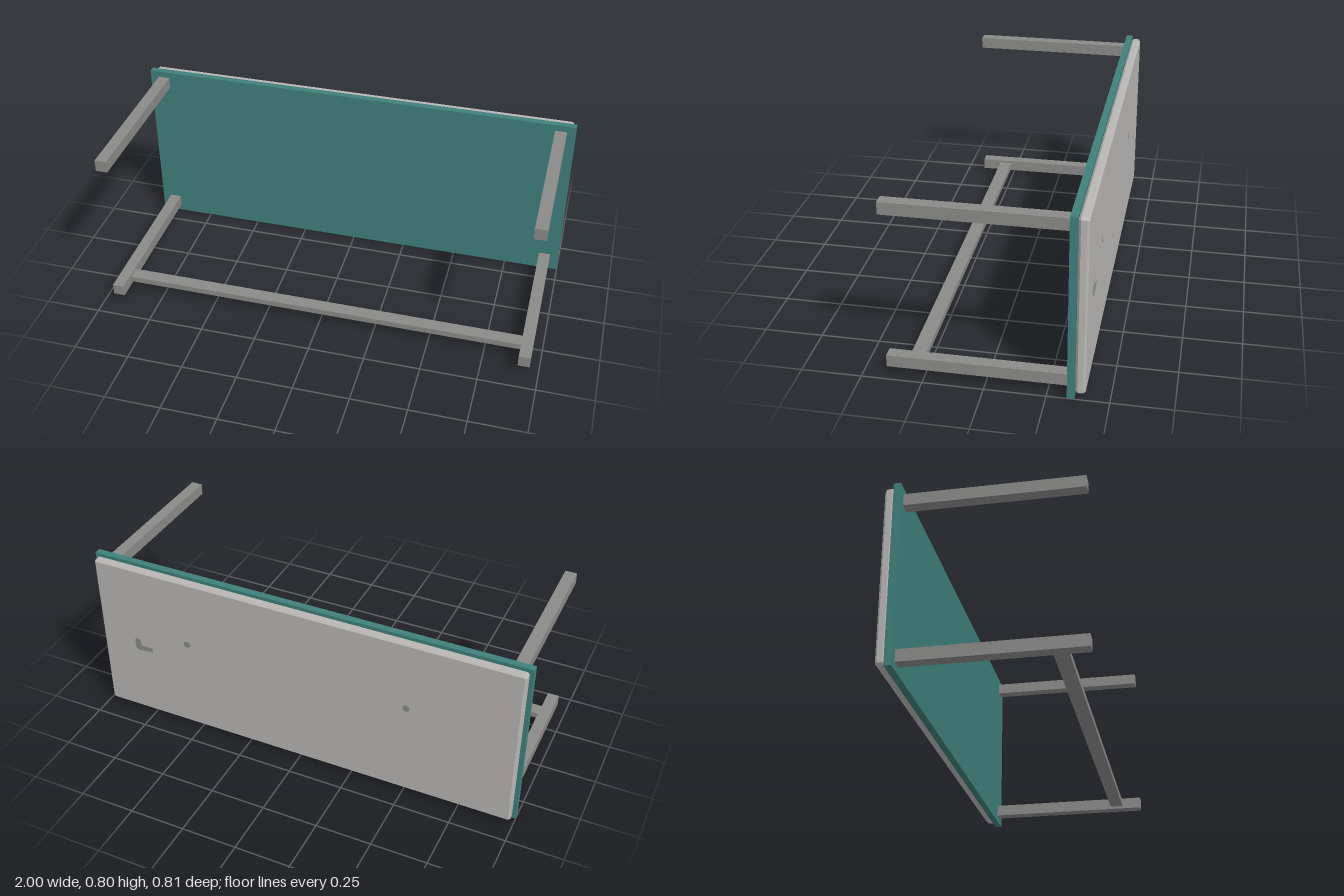
import * as THREE from 'three';

export function createModel() {
  const root = new THREE.Group();
  root.name = 'tippedTable';

  const mat = (name, color) => {
    const m = new THREE.MeshStandardMaterial({ color });
    m.name = name;
    return m;
  };
  const teal = mat('teal', 0x3f807b);
  const legGrey = mat('legGrey', 0x8a8b89);
  const topGrey = mat('topGrey', 0xb8b7b4);

  const add = (name, geometry, material, x, y, z) => {
    const mesh = new THREE.Mesh(geometry, material);
    mesh.name = name;
    mesh.position.set(x, y, z);
    root.add(mesh);
    return mesh;
  };

  // Under-board
  add('underBoard', new THREE.BoxGeometry(2, 0.8, 0.03), teal, 0, 0.4, -0.346);

  // Table top slab with every edge chamfered
  const c = 0.009, w = 0.985, h = 0.389, depth = 0.041;
  const outline = new THREE.Shape([
    [-w + c, -h], [w - c, -h], [w, -h + c], [w, h - c],
    [w - c, h], [-w + c, h], [-w, h - c], [-w, -h + c],
  ].map(([x, y]) => new THREE.Vector2(x, y)));
  const slab = new THREE.ExtrudeGeometry(outline, {
    depth: depth - 2 * c, bevelEnabled: true, bevelSegments: 1,
    bevelSize: c, bevelThickness: c, bevelOffset: -c,
  });
  slab.translate(0, 0, c);
  add('tableTop', slab, topGrey, 0, 0.402, -0.402);

  // Four legs reaching forward
  for (const x of [-0.934, 0.934]) {
    for (const y of [0.058, 0.746]) {
      add('leg', new THREE.BoxGeometry(0.052, 0.052, 0.735), legGrey, x, y, 0.0365);
    }
  }

  // Stretcher between the lower legs
  add('stretcher', new THREE.BoxGeometry(1.82, 0.027, 0.06), legGrey, 0, 0.058, 0.285);

  // Small marks on the table surface
  for (const x of [0.54, -0.5]) {
    const dot = new THREE.CylinderGeometry(0.016, 0.016, 0.003, 12);
    dot.rotateX(Math.PI / 2);
    add('dotMark', dot, legGrey, x, 0.465, -0.402);
  }
  const corner = new THREE.Shape([
    [0.815, 0.362], [0.815, 0.412], [0.805, 0.42], [0.788, 0.415],
    [0.785, 0.385], [0.728, 0.383], [0.728, 0.362], [0.8, 0.355],
  ].map(([x, y]) => new THREE.Vector2(x, y)));
  add('cornerMark', new THREE.ExtrudeGeometry(corner, { depth: 0.003, bevelEnabled: false }),
    legGrey, 0, 0, -0.4035);

  return root;
}
